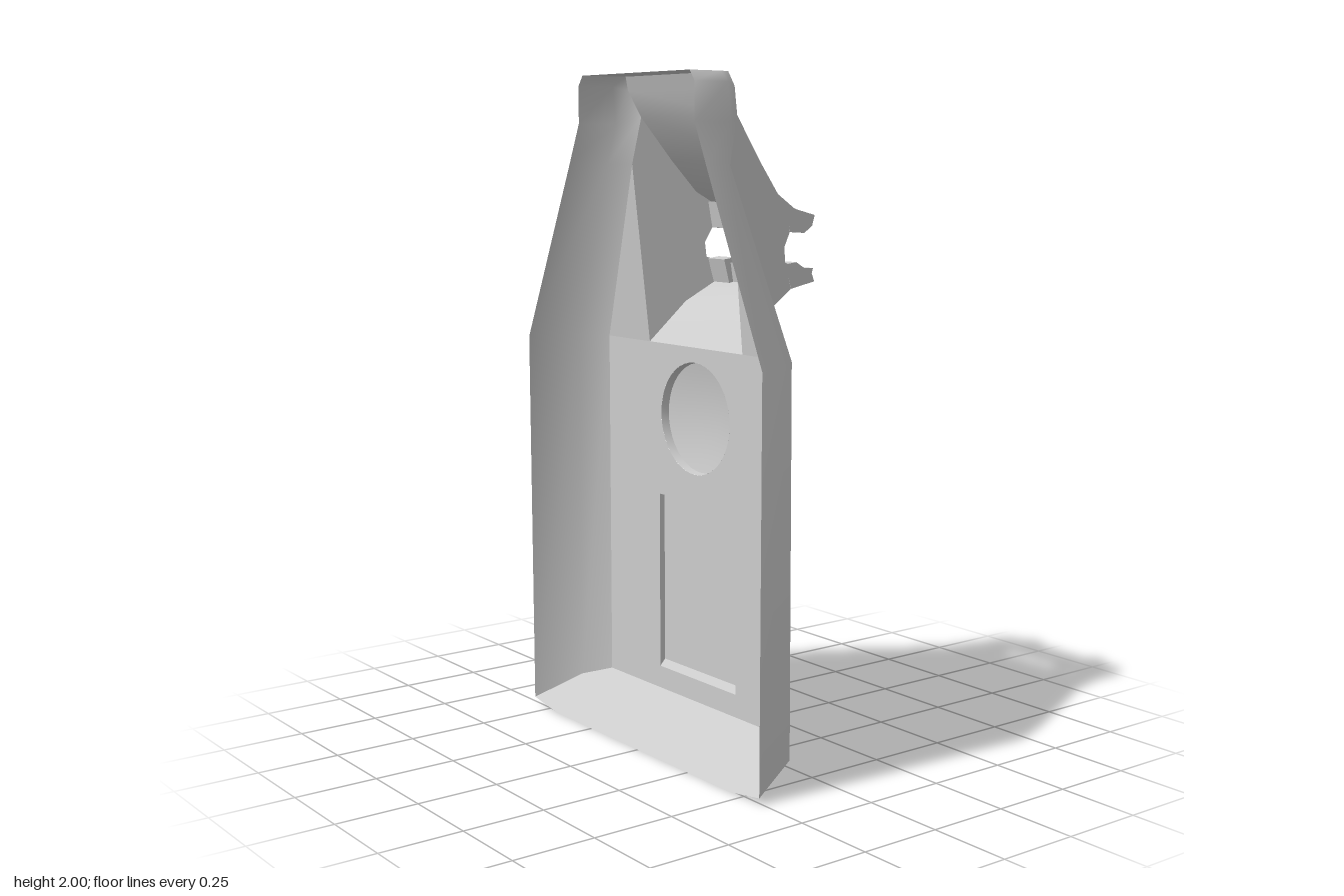
import * as THREE from 'three';
import { toCreasedNormals } from 'three/addons/utils/BufferGeometryUtils.js';

const material = new THREE.MeshStandardMaterial({ color: 0xcccccc, side: THREE.DoubleSide });

// Thin skin through rows of [x, y, z] points
function skin(rows, crease = 0.6) {
  const n = rows[0].length;
  const index = [];
  for (let r = 0; r < rows.length - 1; r++) {
    for (let c = 0; c < n - 1; c++) {
      const a = r * n + c, b = a + 1, d = a + n, e = d + 1;
      index.push(a, b, e, a, e, d);
    }
  }
  const g = new THREE.BufferGeometry();
  g.setAttribute('position', new THREE.Float32BufferAttribute(rows.flat(2), 3));
  g.setIndex(index);
  return toCreasedNormals(g, crease);
}

// Skin spanning left to right between mirrored copies of one edge
const span = (edge) => skin(edge.map(([x, y, z]) => [[-x, y, z], [x, y, z]]));

export function createModel() {
  const model = new THREE.Group();
  const backZ = 0.045;

  function add(name, geometry, parent = model) {
    const mesh = new THREE.Mesh(geometry, material);
    mesh.name = name;
    parent.add(mesh);
    return mesh;
  }
  function addPair(name, geometry) {
    add('left' + name, geometry);
    add('right' + name, geometry).scale.x = -1;
  }

  // Back plate with openings for the dome and the raised panel
  const plate = new THREE.Shape([
    [-0.45, 0.11], [0.45, 0.11], [0.45, 1.2], [-0.45, 1.2],
  ].map(([x, y]) => new THREE.Vector2(x, y)));
  plate.holes.push(new THREE.Path().absarc(0, 0.985, 0.17, 0, Math.PI * 2, true));
  plate.holes.push(new THREE.Path([
    [-0.18, 0.18], [-0.18, 0.73], [0.2, 0.73], [0.2, 0.18],
  ].map(([x, y]) => new THREE.Vector2(x, y))));
  add('backPlate', new THREE.ShapeGeometry(plate, 24).translate(0, 0, backZ));

  // Raised panel: stepped edge and flat face
  const rect = (x0, x1, y0, y1, z) =>
    [[x0, y0, z], [x0, y1, z], [x1, y1, z], [x1, y0, z], [x0, y0, z]];
  add('raisedPanel', skin([
    rect(-0.18, 0.2, 0.18, 0.73, backZ),
    rect(-0.18, 0.2, 0.2, 0.725, 0.027),
    rect(0.01, 0.01, 0.46, 0.46, 0.025),
  ], 0.3));

  // Shallow dome
  const dome = add('dome', toCreasedNormals(new THREE.LatheGeometry(
    [[0.17, 0], [0.167, 0.026], [0.13, 0.034], [0.07, 0.042], [0, 0.045]]
      .map(([r, h]) => new THREE.Vector2(r, h)), 40), 0.7));
  dome.rotation.x = -Math.PI / 2;
  dome.position.set(0, 0.985, backZ);

  // Side walls: rim, shoulder and back edge from the foot to the top
  addPair('SideWall', skin([
    [[0.58, 0.02, 0.26], [0.53, 0.083, 0.11], [0.45, 0.11, backZ]],
    [[0.585, 1.2, 0.26], [0.525, 1.2, 0.11], [0.45, 1.2, backZ]],
    [[0.34, 1.74, 0.26], [0.3, 1.74, 0.15], [0.24, 1.74, 0.1]],
    [[0.287, 1.86, 0.26], [0.283, 1.86, 0.13], [0.234, 1.88, 0.07]],
    [[0.287, 1.97, 0.26], [0.282, 1.97, 0.14], [0.26, 1.96, 0.1]],
    [[0.265, 2, 0.26], [0.26, 2, 0.15], [0.25, 2, 0.115]],
  ], 0.8));

  // Triangular flanks beside the socket
  addPair('Flank', skin([
    [[0.45, 1.2, backZ], [0.229, 1.2, backZ]],
    [[0.24, 1.74, 0.1], [0.24, 1.74, 0.1]],
  ]));

  // Sloping foot
  const footRow = (xo, yo, xi, yi, z) => [[-xo, yo, z], [-xi, yi, z], [xi, yi, z], [xo, yo, z]];
  add('foot', skin([
    footRow(0.58, 0.02, 0.45, 0, 0.26),
    footRow(0.53, 0.083, 0.44, 0.076, 0.11),
    footRow(0.45, 0.11, 0.42, 0.11, backZ),
  ]));

  // Socket: top cap running down into a hood, the underside, and window lips
  const socketX = (z) => 0.22 + 0.2 * z;
  const tip = socketX(-0.185);
  add('topHood', span([
    [0.265, 2, 0.26], [0.26, 2, 0.15], [0.25, 2, 0.115], [0.26, 1.96, 0.1],
    [0.234, 1.88, 0.07], [socketX(-0.03), 1.75, -0.03],
    [socketX(-0.11), 1.656, -0.11], [tip, 1.61, -0.185],
  ]));
  add('socketUnderside', span([
    [socketX(backZ), 1.2, backZ], [socketX(-0.075), 1.32, -0.075],
    [socketX(-0.17), 1.376, -0.17], [tip, 1.38, -0.185],
  ]));
  add('upperLip', span([[tip, 1.61, -0.185], [tip, 1.56, -0.18]]));
  add('lowerLip', span([[tip, 1.38, -0.185], [tip, 1.44, -0.175]]));

  // Socket cheeks, notched at the back and tapering inwards
  const cheek = new THREE.ShapeGeometry(new THREE.Shape([
    [0.045, 1.2], [0.1, 1.74], [0.07, 1.88], [-0.03, 1.75], [-0.11, 1.656],
    [-0.19, 1.61], [-0.19, 1.545], [-0.165, 1.545], [-0.14, 1.5], [-0.145, 1.455],
    [-0.19, 1.44], [-0.19, 1.38], [-0.17, 1.376], [-0.075, 1.32],
  ].map(([z, y]) => new THREE.Vector2(z, y))));
  const p = cheek.attributes.position;
  for (let i = 0; i < p.count; i++) {
    const z = p.getX(i);
    p.setXYZ(i, socketX(z), p.getY(i), z);
  }
  cheek.computeVertexNormals();
  addPair('Cheek', cheek);

  // Four hooks around the window
  const hookProfiles = {
    UpperHook: [[-0.15, 1.625], [-0.19, 1.61], [-0.26, 1.592], [-0.25, 1.56],
      [-0.22, 1.54], [-0.165, 1.545]],
    LowerHook: [[-0.15, 1.45], [-0.19, 1.455], [-0.22, 1.437], [-0.255, 1.435], [-0.25, 1.42],
      [-0.26, 1.395], [-0.17, 1.377]],
  };
  for (const [name, points] of Object.entries(hookProfiles)) {
    const hook = new THREE.ExtrudeGeometry(
      new THREE.Shape(points.map(([z, y]) => new THREE.Vector2(-z, y))),
      { depth: 0.08, bevelEnabled: false });
    hook.rotateY(Math.PI / 2); // profile runs towards -z, depth along +x
    hook.translate(0.108, 0, 0);
    addPair(name, hook);
  }

  return model;
}
